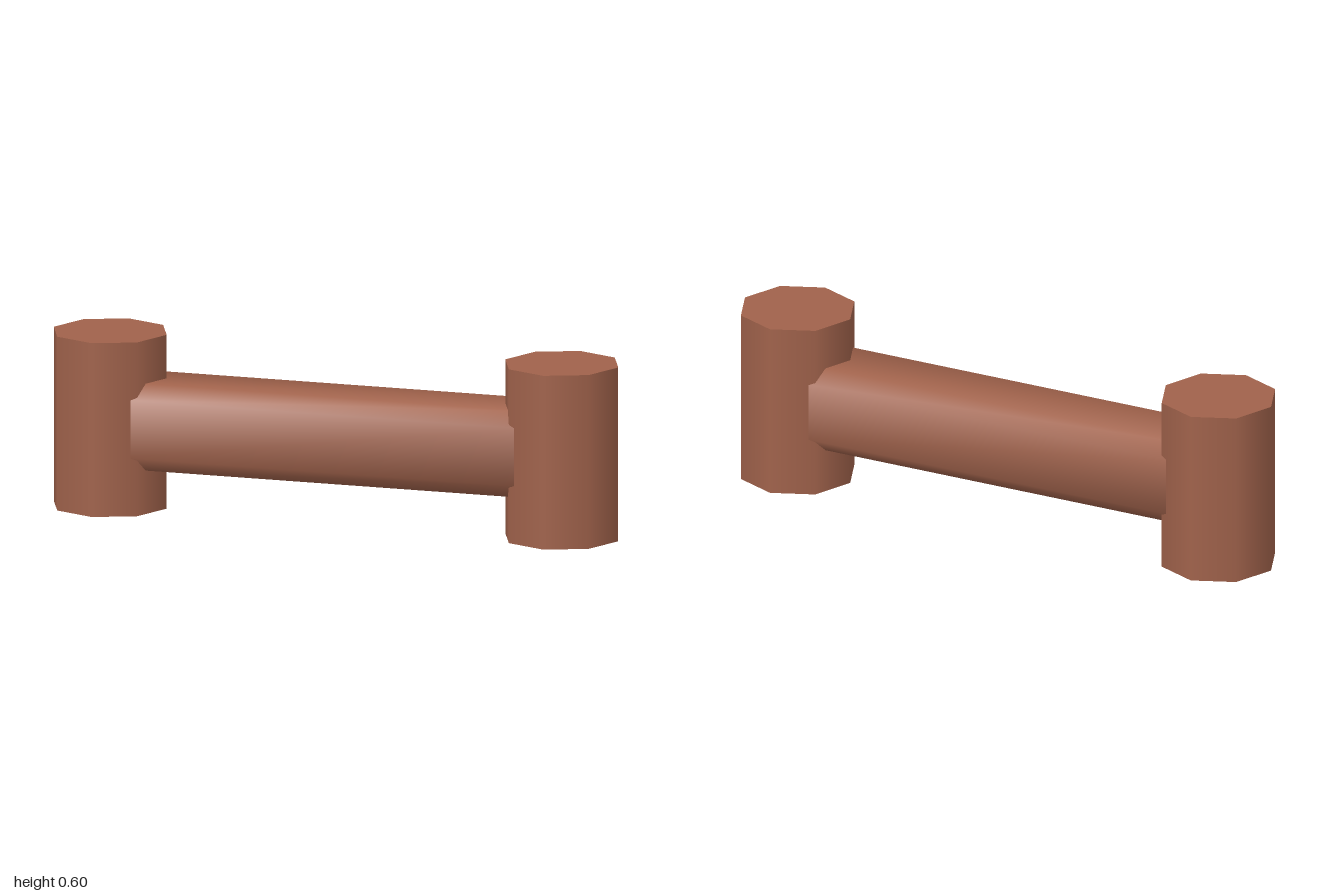
import * as THREE from 'three';
import { toCreasedNormals } from 'three/addons/utils/BufferGeometryUtils.js';

export function createModel() {
  const model = new THREE.Group();
  model.name = 'barWithPosts';
  const clay = new THREE.MeshStandardMaterial({ color: 0xa0624b });
  clay.name = 'reddish brown';

  // Upright eight-sided posts at both ends
  const postGeometry = new THREE.CylinderGeometry(0.2, 0.2, 0.6, 8);
  for (const side of [-1, 1]) {
    const post = new THREE.Mesh(postGeometry, clay);
    post.name = side > 0 ? 'leftPost' : 'rightPost';
    post.position.set(side * 0.8, 0.3, 0);
    model.add(post);
  }

  // Crossbar: a square section with cut corners and softened sides
  const half = 0.15, flat = 0.1, length = 1.44;
  const section = new THREE.Shape([
    [half, -flat], [half, flat], [flat, half], [-flat, half],
    [-half, flat], [-half, -flat], [-flat, -half], [flat, -half],
  ].map(([x, y]) => new THREE.Vector2(x, y)));
  const barGeometry = new THREE.ExtrudeGeometry(section, { depth: length, bevelEnabled: false });
  barGeometry.translate(0, 0, -length / 2).rotateY(Math.PI / 2);
  const bar = new THREE.Mesh(toCreasedNormals(barGeometry, 1), clay);
  bar.name = 'crossbar';
  bar.position.y = 0.3;
  model.add(bar);

  return model;
}
